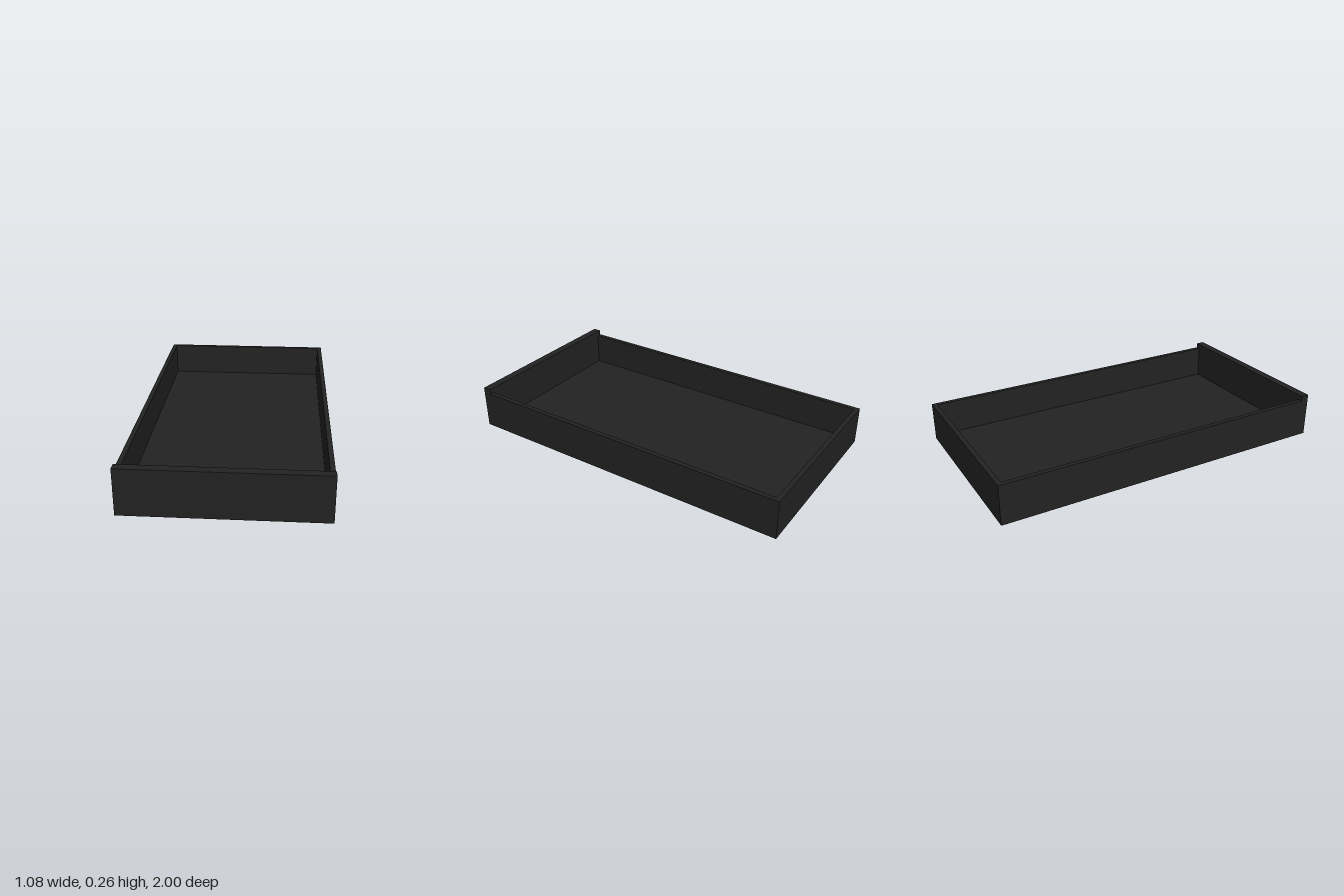
import * as THREE from 'three';

export function createModel() {
  const group = new THREE.Group();
  group.name = 'drawer';
  const black = new THREE.MeshStandardMaterial({ color: 0x222222 });
  black.name = 'matte black';

  const halfWidth = 0.54, wall = 0.027, sideHeight = 0.23, frontHeight = 0.26;
  const floorTop = 0.03, frontInner = 0.95;

  // Box given by its minimum and maximum corners
  function panel(name, min, max) {
    const size = max.map((v, i) => v - min[i]);
    const mesh = new THREE.Mesh(new THREE.BoxGeometry(...size), black);
    mesh.position.set(...max.map((v, i) => (v + min[i]) / 2));
    mesh.name = name;
    group.add(mesh);
  }

  // Taller, thicker front panel
  panel('frontPanel', [-halfWidth, 0, frontInner], [halfWidth, frontHeight, 1]);

  // Side walls run from the back to the front panel
  panel('leftWall', [halfWidth - wall, 0, -1], [halfWidth, sideHeight, frontInner]);
  panel('rightWall', [-halfWidth, 0, -1], [-halfWidth + wall, sideHeight, frontInner]);

  // Back wall and floor fit between the sides
  const inner = halfWidth - wall;
  panel('backWall', [-inner, 0, -1], [inner, sideHeight, -1 + wall]);
  panel('floor', [-inner, 0, -1 + wall], [inner, floorTop, frontInner]);

  return group;
}
